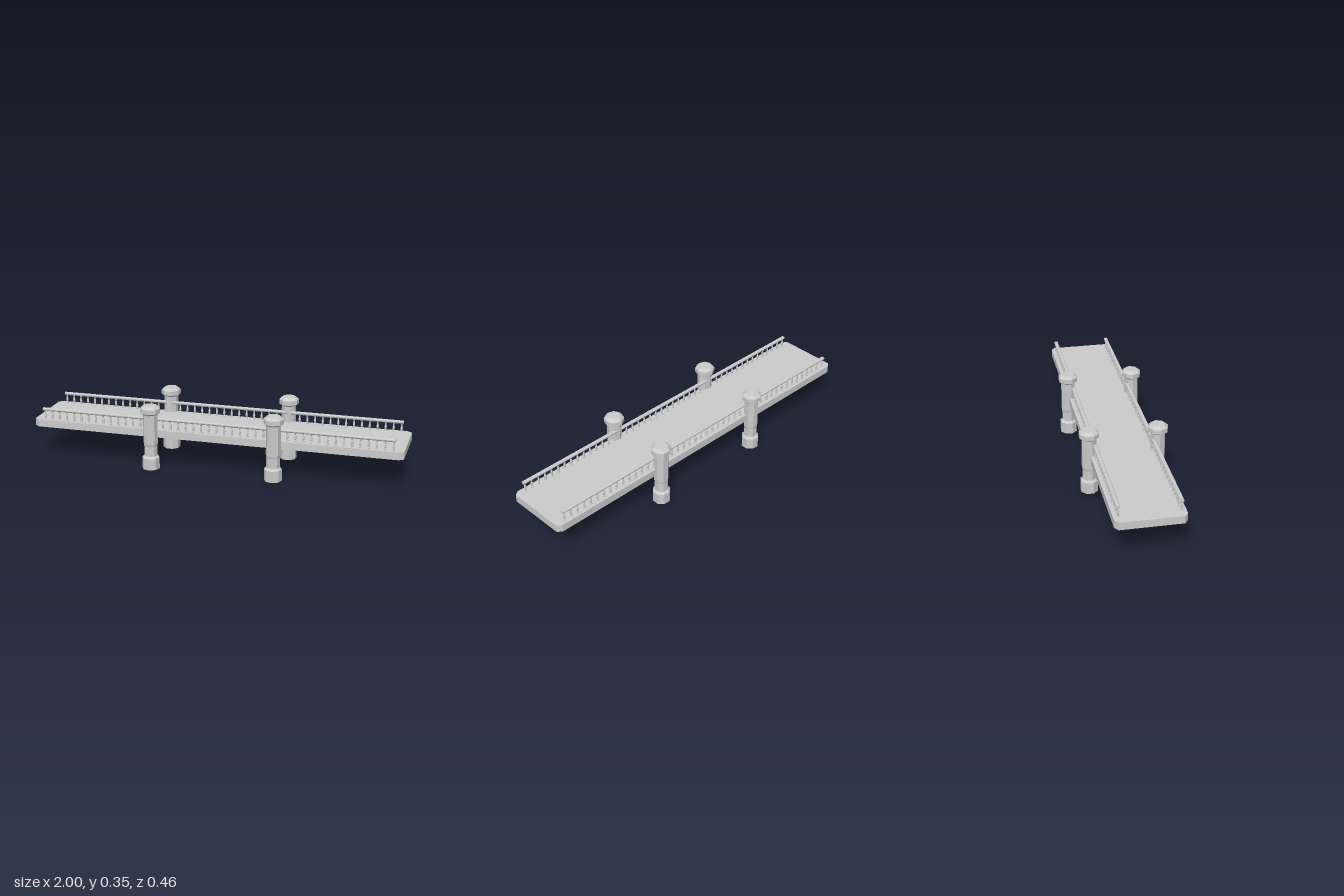
import * as THREE from 'three';

const material = new THREE.MeshStandardMaterial({ color: 0xcccccc, flatShading: true });

function add(parent, name, geometry, x = 0, y = 0, z = 0) {
  const mesh = new THREE.Mesh(geometry, material);
  mesh.name = name;
  mesh.position.set(x, y, z);
  parent.add(mesh);
  return mesh;
}

const lathe = (points, sides) =>
  new THREE.LatheGeometry(points.map(([r, y]) => new THREE.Vector2(r, y)), sides);

// Extruded outline helper
const outline = (points) => new THREE.Shape(points.map(([x, y]) => new THREE.Vector2(x, y)));

export function createModel() {
  const bridge = new THREE.Group();
  bridge.name = 'bridge';

  // Deck slab with clipped corners
  const L = 1, W = 0.175, cx = 0.025, cz = 0.018;
  const deck = new THREE.ExtrudeGeometry(outline([
    [-L, -W + cz], [-L + cx, -W], [L - cx, -W], [L, -W + cz],
    [L, W - cz], [L - cx, W], [-L + cx, W], [-L, W - cz],
  ]), { depth: 0.04, bevelEnabled: false });
  deck.rotateX(-Math.PI / 2);
  add(bridge, 'deck', deck, 0, 0.172, 0);

  // Eight-sided pillars: plinth, waisted shaft and flared cap
  const pillar = lathe([
    [0, 0], [0.047, 0], [0.047, 0.062], [0.036, 0.073], [0.036, 0.125],
    [0.039, 0.14], [0.039, 0.3], [0.053, 0.31], [0.053, 0.334],
    [0.037, 0.348], [0, 0.348],
  ], 8);
  for (const x of [-0.333, 0.333]) {
    for (const side of [1, -1]) {
      const mesh = add(bridge, 'pillar', pillar, x, 0, side * 0.178);
      mesh.rotation.y = THREE.MathUtils.degToRad(side > 0 ? 5 : 20);
    }
  }

  // Handrail with chamfered section, and turned balusters
  const railLength = 1.91;
  const rail = new THREE.ExtrudeGeometry(outline([
    [-0.006, 0], [0.006, 0], [0.01, 0.006], [0.01, 0.011],
    [0.006, 0.015], [-0.006, 0.015], [-0.01, 0.011], [-0.01, 0.006],
  ]), { depth: railLength, bevelEnabled: false });
  rail.translate(0, 0, -railLength / 2);
  rail.rotateY(Math.PI / 2);

  const baluster = lathe([
    [0, 0], [0.007, 0], [0.007, 0.006], [0.0045, 0.01], [0.0065, 0.018],
    [0.006, 0.026], [0.0035, 0.04], [0.006, 0.046], [0.006, 0.05],
  ], 6);
  const count = 46;
  for (const side of [1, -1]) {
    const railing = new THREE.Group();
    railing.name = side > 0 ? 'frontRailing' : 'backRailing';
    railing.position.z = side * 0.151;
    bridge.add(railing);
    add(railing, 'handrail', rail, 0, 0.259, 0);
    for (let i = 0; i < count; i++) {
      add(railing, 'baluster', baluster, -0.945 + (1.89 * i) / (count - 1), 0.211, 0);
    }
  }
  return bridge;
}
